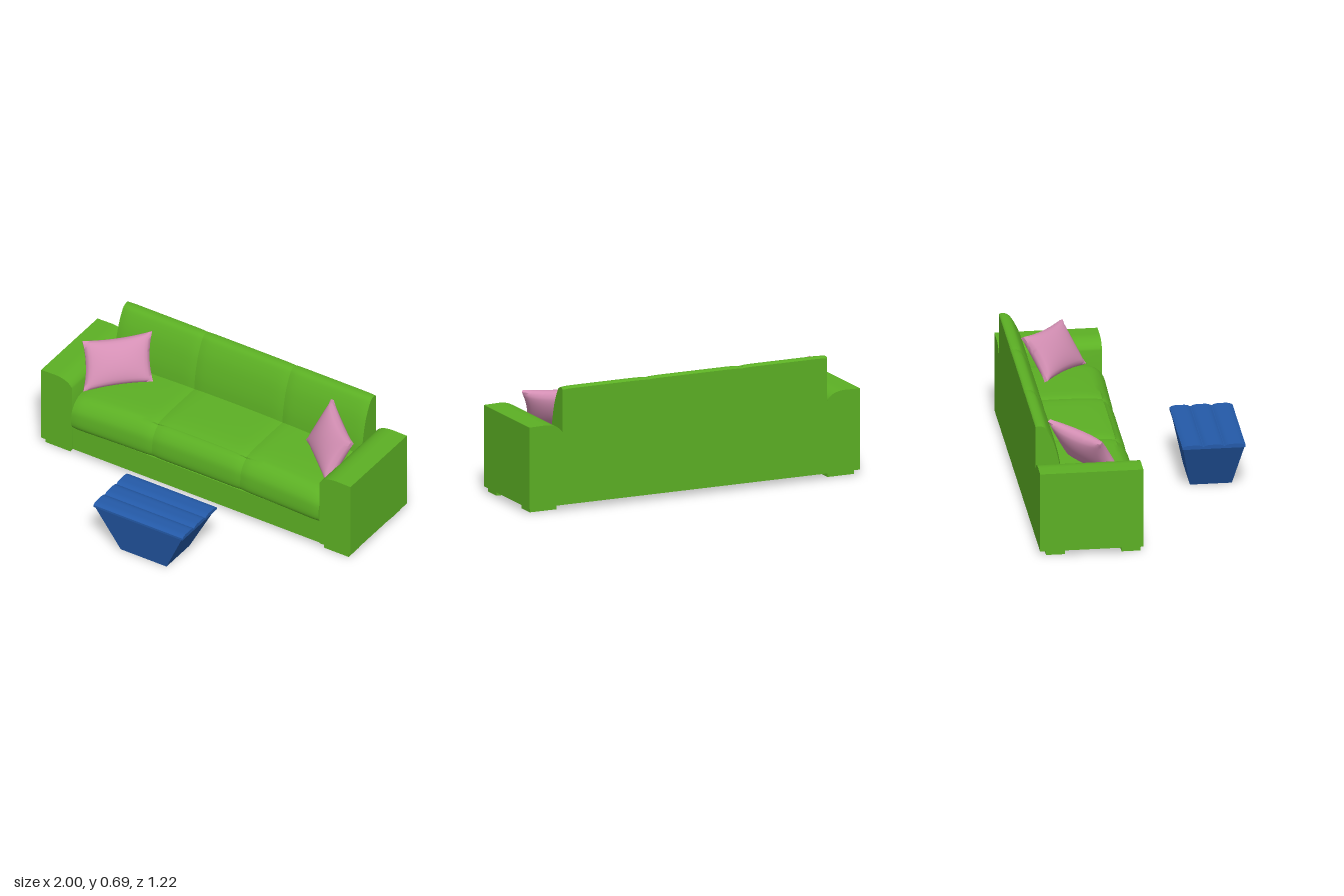
import * as THREE from 'three';
import { toCreasedNormals } from 'three/addons/utils/BufferGeometryUtils.js';

const green = new THREE.MeshStandardMaterial({ color: 0x5cb024 });
const blue = new THREE.MeshStandardMaterial({ color: 0x245aa8 });
const pink = new THREE.MeshStandardMaterial({ color: 0xd48fb4 });

function add(parent, name, geometry, material) {
  const mesh = new THREE.Mesh(geometry, material);
  mesh.name = name;
  parent.add(mesh);
  return mesh;
}

// Box given by its limits on each axis
function box(x0, x1, y0, y1, z0, z1) {
  return new THREE.BoxGeometry(x1 - x0, y1 - y0, z1 - z0)
    .translate((x0 + x1) / 2, (y0 + y1) / 2, (z0 + z1) / 2);
}

// Move every vertex of a geometry by a rule
function deform(geometry, rule) {
  const p = geometry.attributes.position, v = new THREE.Vector3();
  for (let i = 0; i < p.count; i++) {
    rule(v.fromBufferAttribute(p, i));
    p.setXYZ(i, v.x, v.y, v.z);
  }
  geometry.computeVertexNormals();
  return geometry;
}

// Side profile of [z, y] points swept along x; the curve is smooth, the corners are straight
function cushion(x0, x1, corners, curve, rule) {
  const soft = new THREE.SplineCurve(curve.map(([z, y]) => new THREE.Vector2(-z, y))).getPoints(24);
  const shape = new THREE.Shape([...corners.map(([z, y]) => new THREE.Vector2(-z, y)), ...soft]);
  const g = new THREE.ExtrudeGeometry(shape, { depth: x1 - x0, steps: 24, bevelEnabled: false });
  g.rotateY(Math.PI / 2).translate(x0, 0, 0);
  deform(g, v => rule(v, Math.pow(Math.abs((2 * v.x - x0 - x1) / (x1 - x0)), 10)));
  return toCreasedNormals(g, 0.6);
}

// Armrest: flat top that rolls down on the inner side
function arm(s) {
  const shape = new THREE.Shape();
  shape.moveTo(s * 0.8, 0.03);
  shape.lineTo(s, 0.03);
  shape.lineTo(s, 0.485);
  shape.lineTo(s * 0.91, 0.487);
  shape.bezierCurveTo(s * 0.86, 0.487, s * 0.815, 0.47, s * 0.8, 0.435);
  const g = new THREE.ExtrudeGeometry(shape, { depth: 0.565, bevelEnabled: false, curveSegments: 10 });
  return toCreasedNormals(g.translate(0, 0, -0.61), 0.6);
}

// Throw pillow with pinched edges, laid along its width and height directions
function pillow(s) {
  const g = deform(new THREE.BoxGeometry(2, 2, 2, 20, 20, 2), v => {
    const { x, y } = v;
    const puff = Math.sqrt(Math.max(0, (1 - x * x) * (1 - y * y)));
    v.x = x * (1 - 0.09 * (1 - y * y));
    v.y = y * (1 - 0.09 * (1 - x * x));
    v.z *= 0.01 + 0.05 * puff;
  });
  const width = new THREE.Vector3(0.145, -s * 0.014, s * 0.125);
  const height = new THREE.Vector3(s * 0.042, 0.116, -0.06);
  const normal = width.clone().cross(height).normalize();
  const m = new THREE.Matrix4().makeBasis(width, height, normal).setPosition(s * 0.686, 0.495, -0.325);
  return toCreasedNormals(g.applyMatrix4(m), 0.9);
}

export function createModel() {
  const model = new THREE.Group();
  const sofa = new THREE.Group();
  sofa.name = 'sofa';
  model.add(sofa);

  // Frame
  add(sofa, 'base', box(-0.8, 0.8, 0.03, 0.18, -0.61, -0.05), green);
  for (const s of [-1, 1]) {
    add(sofa, 'arm', arm(s), green);
    for (const z of [-0.11, -0.523]) {
      add(sofa, 'foot', box(s * 0.9 - 0.08, s * 0.9 + 0.08, 0, 0.03, z - 0.052, z + 0.052), green);
    }
    add(model, 'pillow', pillow(s), pink);
  }

  // Three seat cushions and three back cushions, crowned at the middle and tucked at the seams
  const seams = [-0.8, -0.285, 0.285, 0.8];
  for (let i = 0; i < 3; i++) {
    add(sofa, 'seatCushion', cushion(seams[i], seams[i + 1],
      [[-0.55, 0.17]],
      [[-0.05, 0.17], [-0.031, 0.2], [-0.03, 0.26], [-0.042, 0.315], [-0.085, 0.365],
        [-0.16, 0.383], [-0.3, 0.388], [-0.55, 0.388]],
      (v, tuck) => {
        const side = (v.x / 0.8) ** 2;
        v.y -= (v.y - 0.17) / 0.22 * (0.022 * side + 0.008 * tuck);
        if (v.z > -0.1) v.z -= 0.015 * (1 - side) + 0.006 * tuck;
      }), green);
    add(sofa, 'backCushion', cushion(seams[i], seams[i + 1],
      [[-0.61, 0.17], [-0.46, 0.17]],
      [[-0.46, 0.34], [-0.472, 0.46], [-0.502, 0.58], [-0.54, 0.66], [-0.566, 0.684],
        [-0.6, 0.686], [-0.61, 0.678]],
      (v, tuck) => {
        if (v.z > -0.6) v.z -= 0.008 * tuck;
        if (v.y > 0.6) v.y -= 0.003 * tuck;
      }), green);
  }

  // Tapered coffee table with a thin rim and three rounded slats
  const table = new THREE.Group();
  table.name = 'coffeeTable';
  table.position.set(0.048, 0, 0.438);
  model.add(table);
  const body = deform(box(-1, 1, 0, 0.275, -1, 1), v => {
    const t = v.y / 0.275;
    v.x *= 0.148 + 0.137 * t;
    v.z *= 0.115 + 0.055 * t;
  });
  add(table, 'tableBody', body, blue);
  add(table, 'tableRim', box(-0.288, 0.288, 0.268, 0.277, -0.173, 0.173), blue);
  for (let i = -1; i <= 1; i++) {
    const slat = new THREE.BoxGeometry(0.576, 0.02, 0.115, 1, 1, 12);
    deform(slat, v => { if (v.y > 0) v.y = 0.013 - 0.012 * (v.z / 0.0575) ** 4; });
    add(table, 'tableSlat', toCreasedNormals(slat, 0.6), blue).position.set(0, 0.275, i * 0.115);
  }
  return model;
}
